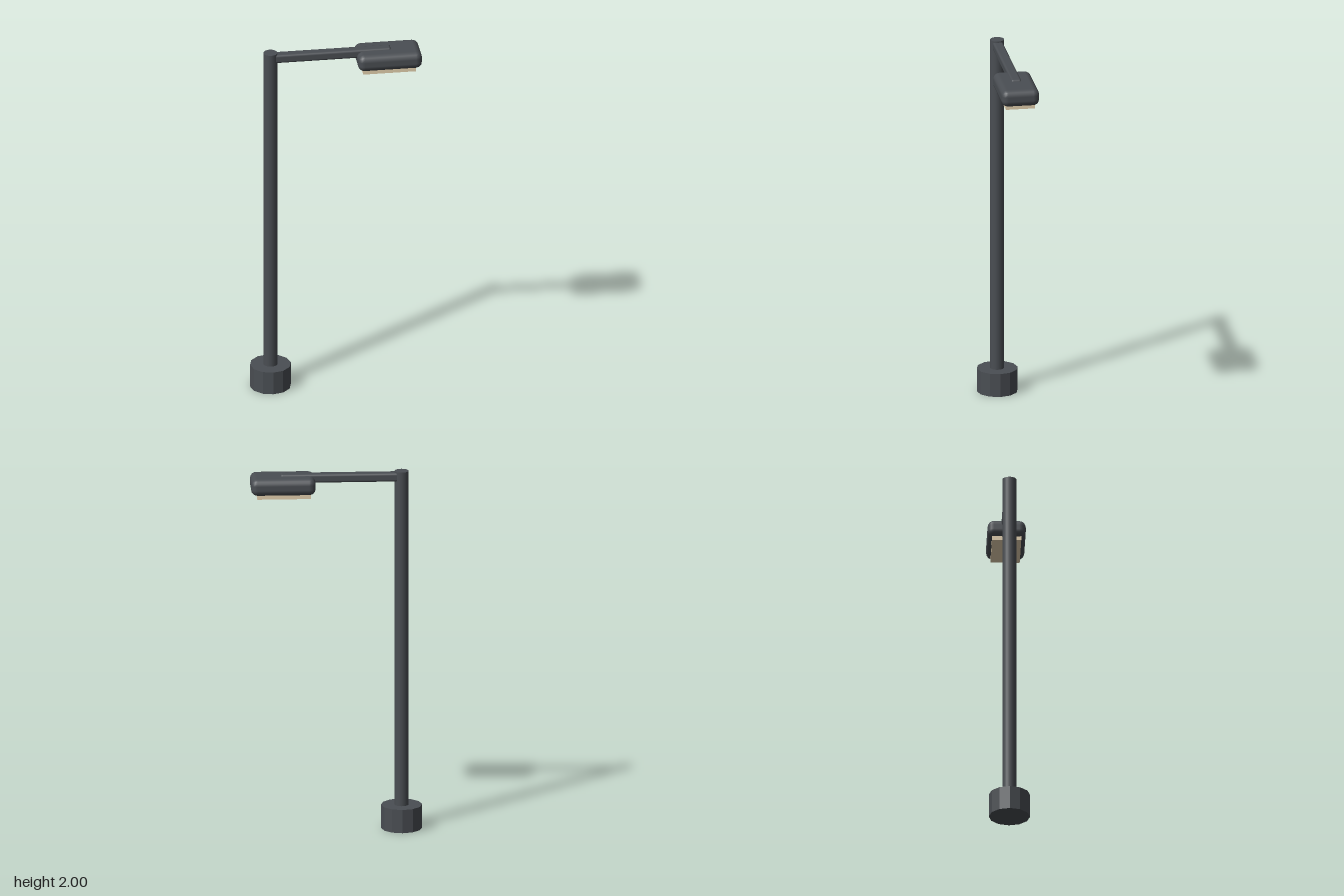
import * as THREE from 'three';
import { RoundedBoxGeometry } from 'three/addons/geometries/RoundedBoxGeometry.js';

export function createModel() {
  const group = new THREE.Group();
  group.name = 'streetLamp';

  const metal = new THREE.MeshStandardMaterial({ color: 0x4a4e53 });
  metal.name = 'dark grey metal';
  const glow = new THREE.MeshStandardMaterial({ color: 0xf0dcb8 });
  glow.name = 'warm cream lens';

  const add = (name, geometry, material, x, y, z = 0) => {
    const mesh = new THREE.Mesh(geometry, material);
    mesh.name = name;
    mesh.position.set(x, y, z);
    group.add(mesh);
    return mesh;
  };

  const poleX = -0.353;

  // Twelve-sided footing with crisp facets
  const footing = new THREE.CylinderGeometry(0.111, 0.111, 0.13, 12).toNonIndexed();
  footing.computeVertexNormals();
  add('base', footing, metal, poleX, 0.065);

  // Upright pole
  add('pole', new THREE.CylinderGeometry(0.038, 0.038, 1.88, 16), metal, poleX, 1.06);

  // Horizontal arm running from the pole into the lamp head
  add('arm', new RoundedBoxGeometry(0.653, 0.048, 0.055, 2, 0.012), metal, -0.0265, 1.969);

  // Lamp head with rounded edges
  add('lampHead', new RoundedBoxGeometry(0.348, 0.093, 0.206, 2, 0.035), metal, 0.287, 1.938);

  // Light panel below the head
  add('lightPanel', new THREE.BoxGeometry(0.288, 0.025, 0.157), glow, 0.284, 1.884);

  return group;
}
